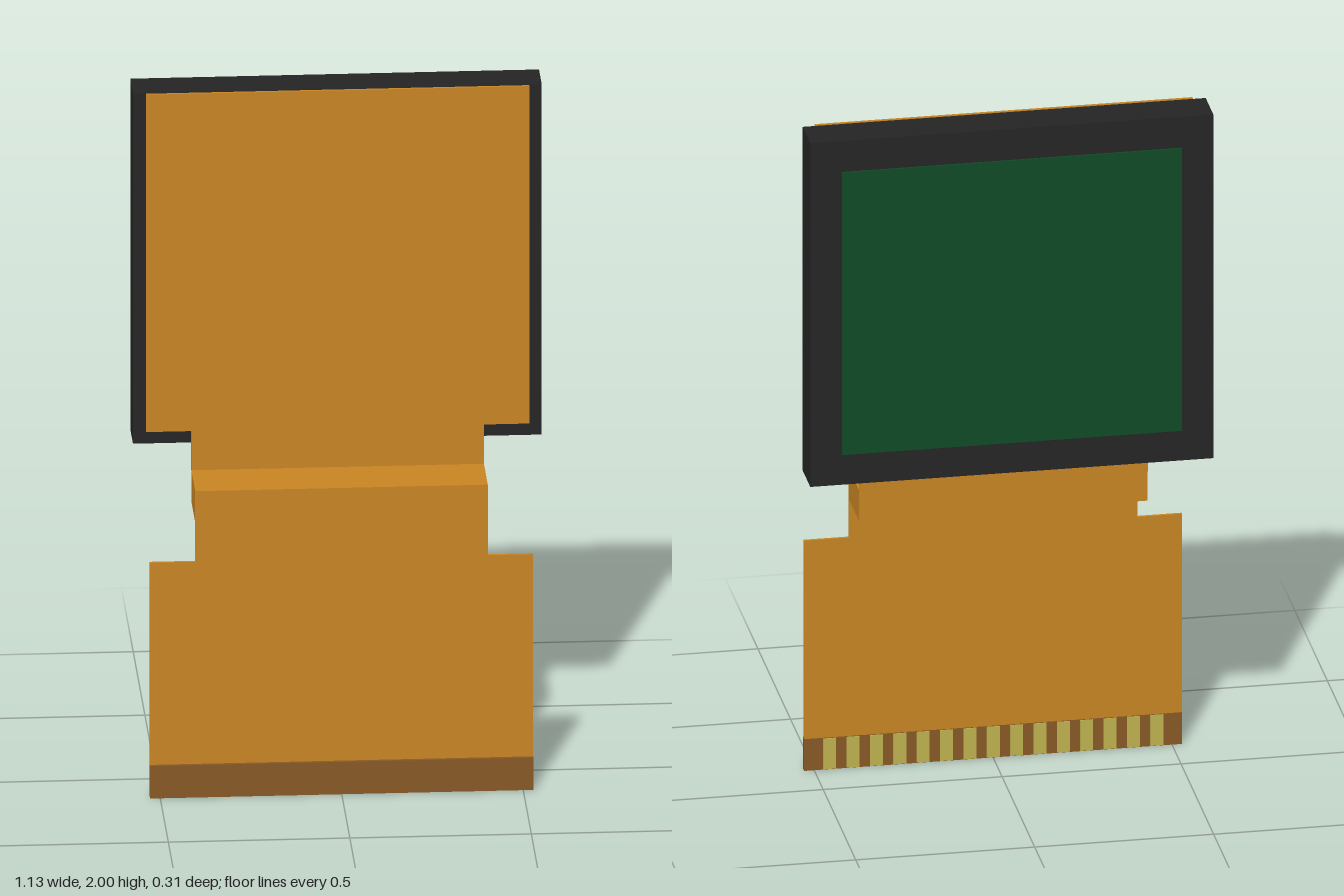
import * as THREE from 'three';

const material = (name, color) => {
  const m = new THREE.MeshStandardMaterial({ color });
  m.name = name;
  return m;
};

export function createModel() {
  const group = new THREE.Group();
  const film = material('amber film', 0xc68422);
  const housing = material('black housing', 0x242424);
  const green = material('screen green', 0x0e4a24);
  const brown = material('brown stiffener', 0x865825);
  const gold = material('contact gold', 0xbcb04e);

  const add = (name, geometry, mat) => {
    const mesh = new THREE.Mesh(geometry, mat);
    mesh.name = name;
    group.add(mesh);
    return mesh;
  };

  // Box given by half width, y range and z range
  const slab = (name, mat, halfW, y0, y1, z0, z1, x = 0) => {
    const mesh = add(name, new THREE.BoxGeometry(halfW * 2, y1 - y0, z1 - z0), mat);
    mesh.position.set(x, (y0 + y1) / 2, (z0 + z1) / 2);
    return mesh;
  };

  // Thin film: a wide sheet with a narrower neck at one end
  const WIDE = 0.528, NECK = 0.403;
  const sheet = (name, yEnd, yStep, yNeck, z0, z1) => {
    const half = [[WIDE, yEnd], [WIDE, yStep], [NECK, yStep], [NECK, yNeck]];
    const mirrored = half.map(([x, y]) => [-x, y]).reverse();
    const shape = new THREE.Shape([...half, ...mirrored].map(([x, y]) => new THREE.Vector2(x, y)));
    const geometry = new THREE.ExtrudeGeometry(shape, { depth: z1 - z0, bevelEnabled: false });
    add(name, geometry.translate(0, 0, z0), film);
  };

  // Display panel, with the screen on its back
  slab('displayHousing', housing, 0.563, 0.972, 2, -0.149, -0.033);
  slab('screen', green, 0.475, 1.063, 1.907, -0.155, -0.148);

  // Flexible cable: upper sheet, step and lower sheet
  sheet('upperFilm', 2, 1.01, 0.893, -0.028, -0.02);
  slab('filmStep', film, NECK, 0.803, 0.895, -0.02, 0.145);
  sheet('lowerFilm', 0.095, 0.688, 0.803, 0.137, 0.145);

  // Connector end with a row of contacts on the back
  slab('stiffener', brown, WIDE, 0, 0.095, 0.137, 0.155);
  const COUNT = 15, REACH = 0.457;
  for (let i = 0; i < COUNT; i++) {
    const x = -REACH + (2 * REACH * i) / (COUNT - 1);
    slab('contact', gold, 0.018, 0.002, 0.093, 0.134, 0.138, x);
  }
  return group;
}
